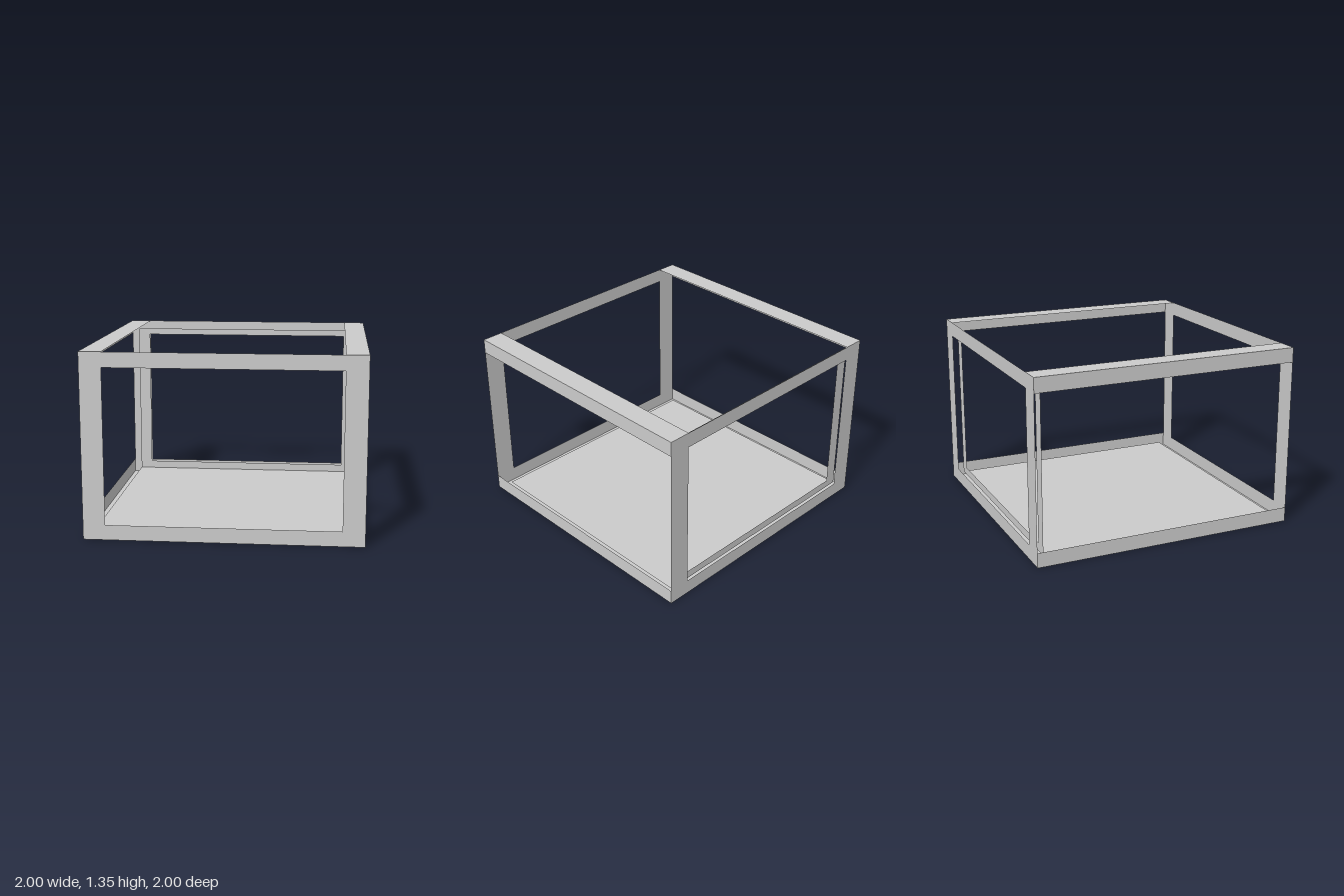
import * as THREE from 'three';

const material = new THREE.MeshStandardMaterial({ color: 0xcccccc, side: THREE.DoubleSide });

function addMesh(group, name, geometry) {
  const mesh = new THREE.Mesh(geometry, material);
  mesh.name = name;
  group.add(mesh);
  return mesh;
}

// Thin upright sheet with a rectangular opening
function frameGeometry(halfWidth, bottom, top, openHalf, openBottom, openTop) {
  const rect = (path, w, y0, y1) => path.moveTo(-w, y0).lineTo(w, y0).lineTo(w, y1).lineTo(-w, y1).closePath();
  const shape = rect(new THREE.Shape(), halfWidth, bottom, top);
  shape.holes.push(rect(new THREE.Path(), openHalf, openBottom, openTop));
  return new THREE.ShapeGeometry(shape);
}

// Horizontal sheet facing up or down
function sheet(width, depth, up = true) {
  return new THREE.PlaneGeometry(width, depth).rotateX(up ? -Math.PI / 2 : Math.PI / 2);
}

export function createModel() {
  const group = new THREE.Group();
  group.name = 'openBoxFrame';
  const H = 1.35, rail = 0.11, post = 0.16;

  // Front and back outer frames
  addMesh(group, 'frontFrame', frameGeometry(1, 0, H, 1 - post, rail, H - rail)).position.z = 1;
  const back = addMesh(group, 'backFrame', frameGeometry(1, 0, H, 1 - post, rail, H - rail));
  back.rotation.y = Math.PI;
  back.position.z = -1;

  // Inner lining: back frame and raised floor
  addMesh(group, 'innerBackFrame', frameGeometry(0.93, 0.05, 1.29, 0.835, rail, H - rail)).position.z = -0.93;
  addMesh(group, 'innerFloor', sheet(1.86, 1.85)).position.set(0, 0.05, -0.005);

  // Underside
  addMesh(group, 'base', sheet(2, 2, false));

  // Side rails, and the flat strips along the top edges
  for (const side of [-1, 1]) {
    const label = side > 0 ? 'left' : 'right';
    for (const [level, y] of [['Bottom', rail / 2], ['Top', H - rail / 2]]) {
      const r = addMesh(group, `${label}${level}Rail`, new THREE.PlaneGeometry(2, rail));
      r.rotation.y = side * Math.PI / 2;
      r.position.set(side, y, 0);
    }
    addMesh(group, `${label}TopStrip`, sheet(post, 2)).position.set(side * (1 - post / 2), H, 0);
  }
  return group;
}
